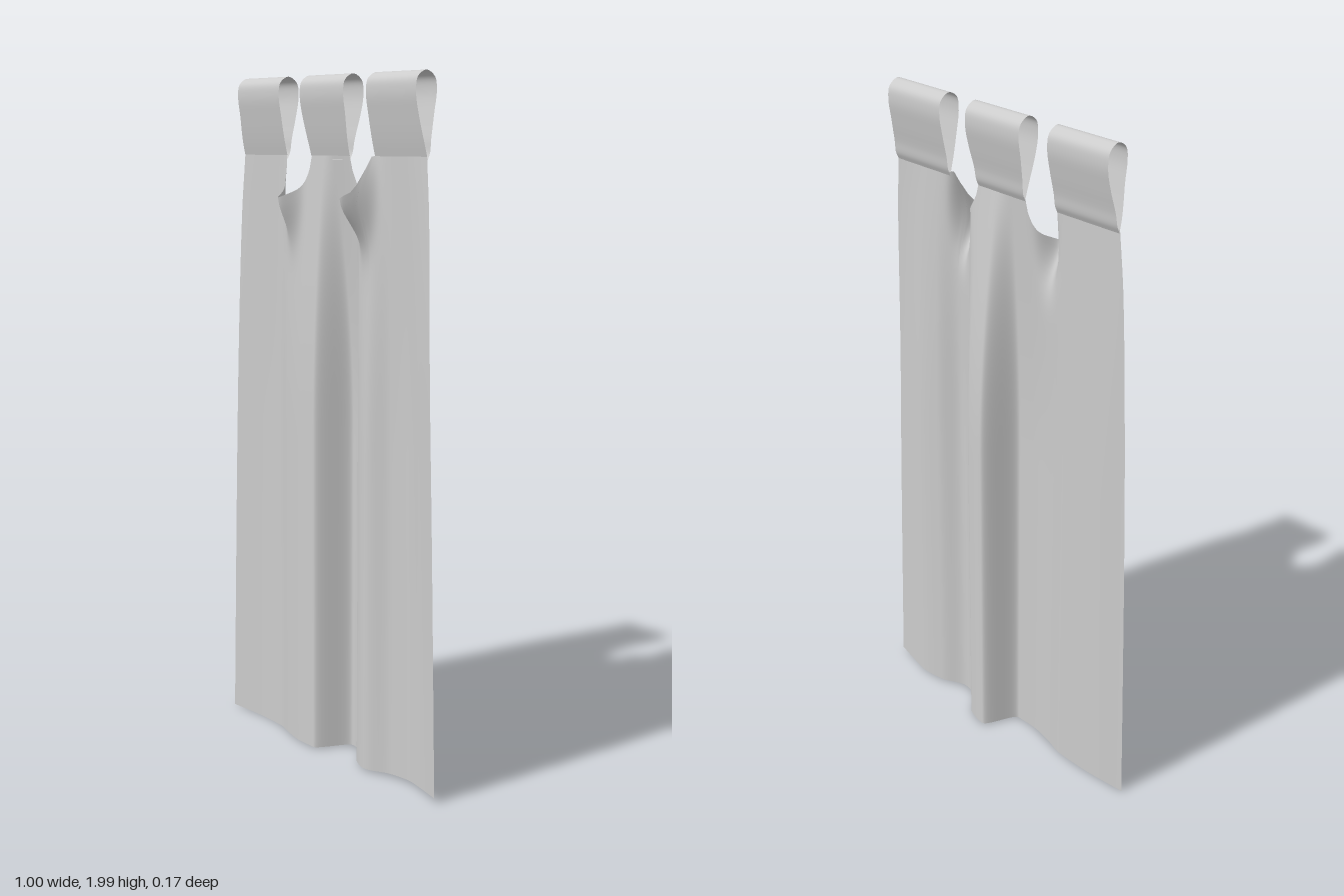
import * as THREE from 'three';

const material = new THREE.MeshStandardMaterial({ color: 0xcccccc, side: THREE.DoubleSide });

// Smooth curve through [x, y] points that never overshoots them
function curve(pts) {
  const slope = pts.slice(1).map((p, i) => (p[1] - pts[i][1]) / (p[0] - pts[i][0]));
  const tangent = pts.map((_, i) => {
    const a = slope[i - 1], b = slope[i];
    if (a === undefined) return b;
    if (b === undefined) return a;
    return a * b <= 0 ? 0 : (2 * a * b) / (a + b);
  });
  return (x) => {
    let i = 0;
    while (i < pts.length - 2 && x > pts[i + 1][0]) i++;
    const h = pts[i + 1][0] - pts[i][0];
    const t = THREE.MathUtils.clamp((x - pts[i][0]) / h, 0, 1);
    const t2 = t * t, t3 = t2 * t;
    return (2 * t3 - 3 * t2 + 1) * pts[i][1] + (t3 - 2 * t2 + t) * h * tangent[i]
      + (3 * t2 - 2 * t3) * pts[i + 1][1] + (t3 - t2) * h * tangent[i + 1];
  };
}

// Grid surface from a rule point(u, v) -> [x, y, z]
function sheet(name, cols, rows, point) {
  const pos = [], index = [];
  for (let j = 0; j <= rows; j++) {
    for (let i = 0; i <= cols; i++) {
      pos.push(...point(i / cols, j / rows));
      if (i < cols && j < rows) {
        const a = j * (cols + 1) + i, d = a + cols + 1;
        index.push(a, a + 1, d + 1, a, d + 1, d);
      }
    }
  }
  const geo = new THREE.BufferGeometry();
  geo.setAttribute('position', new THREE.Float32BufferAttribute(pos, 3));
  geo.setIndex(index);
  geo.computeVertexNormals();
  const mesh = new THREE.Mesh(geo, material);
  mesh.name = name;
  return mesh;
}

const TOP = 1.775, HALF = 0.42;

// Upper edge: level under the tabs, sagging in the two gaps
const topEdge = curve([
  [-0.42, TOP], [-0.203, TOP], [-0.19, 1.68], [-0.16, 1.655], [-0.13, 1.672], [-0.09, 1.74], [-0.085, TOP],
  [0.09, TOP], [0.1, 1.735], [0.13, 1.69], [0.17, 1.66], [0.192, 1.68], [0.203, TOP], [0.42, TOP],
]);
// Depth of the folds across the hanging cloth
const folds = curve([
  [-0.42, -0.01], [-0.31, -0.018], [-0.235, -0.014], [-0.19, 0.002], [-0.09, 0.02], [-0.035, 0.02],
  [0.025, -0.083], [0.085, -0.07], [0.105, -0.055], [0.14, -0.008], [0.2, 0.012],
  [0.26, -0.02], [0.31, -0.028], [0.36, -0.016], [0.42, 0.004],
]);
// Half width of the cloth by height
const halfWidth = curve([[0, 0.5], [0.4, 0.488], [0.8, 0.475], [1.2, 0.459], [1.6, 0.438], [TOP, HALF]]);

function clothPoint(u, v) {
  const s = (u * 2 - 1) * HALF;
  const bottom = 0.006 + 0.014 * u * u;
  const y = bottom + (topEdge(s) - bottom) * v;
  const spread = Math.max(0, Math.abs(s) - 0.2) / (HALF - 0.2);
  const x = s + Math.sign(s) * spread * (halfWidth(y) - HALF);
  // Folds deepen below the tabs
  const drop = THREE.MathUtils.clamp((TOP - y) / 0.8, 0, 1);
  let z = THREE.MathUtils.lerp(-0.014, folds(s), Math.sin(drop * Math.PI / 2));
  // Lips of cloth flopping forward in the gaps
  for (const [cx, amount, width] of [[-0.157, 0.062, 0.03], [0.177, 0.097, 0.026]]) {
    z += amount * Math.exp(-(((s - cx) / width) ** 2) - ((1.665 - y) / 0.1) ** 2);
  }
  return [x, y, z];
}

// Teardrop profile of a tab loop, front to back
const loop = new THREE.CatmullRomCurve3([
  [TOP, -0.014], [1.82, -0.003], [1.88, 0.009], [1.945, 0.019], [1.982, 0.013], [2.0, -0.017],
  [1.982, -0.047], [1.945, -0.053], [1.88, -0.042], [1.82, -0.029], [1.785, -0.024], [1.765, -0.015],
].map(([y, z]) => new THREE.Vector3(0, y, z)));

function tab(name, topLeft, topRight, baseLeft, baseRight) {
  return sheet(name, 10, 60, (u, v) => {
    const p = loop.getPoint(v);
    const k = THREE.MathUtils.smoothstep(p.y, TOP, 1.92);
    const left = THREE.MathUtils.lerp(baseLeft, topLeft, k);
    const right = THREE.MathUtils.lerp(baseRight, topRight, k);
    return [left + (right - left) * u, Math.min(p.y, 2), p.z];
  });
}

export function createModel() {
  const group = new THREE.Group();
  group.name = 'curtain';
  group.add(
    sheet('cloth', 220, 80, clothPoint),
    tab('rightTab', -0.408, -0.2, -0.42, -0.203),
    tab('middleTab', -0.098, 0.103, -0.087, 0.092),
    tab('leftTab', 0.203, 0.411, 0.203, 0.42),
  );
  return group;
}
